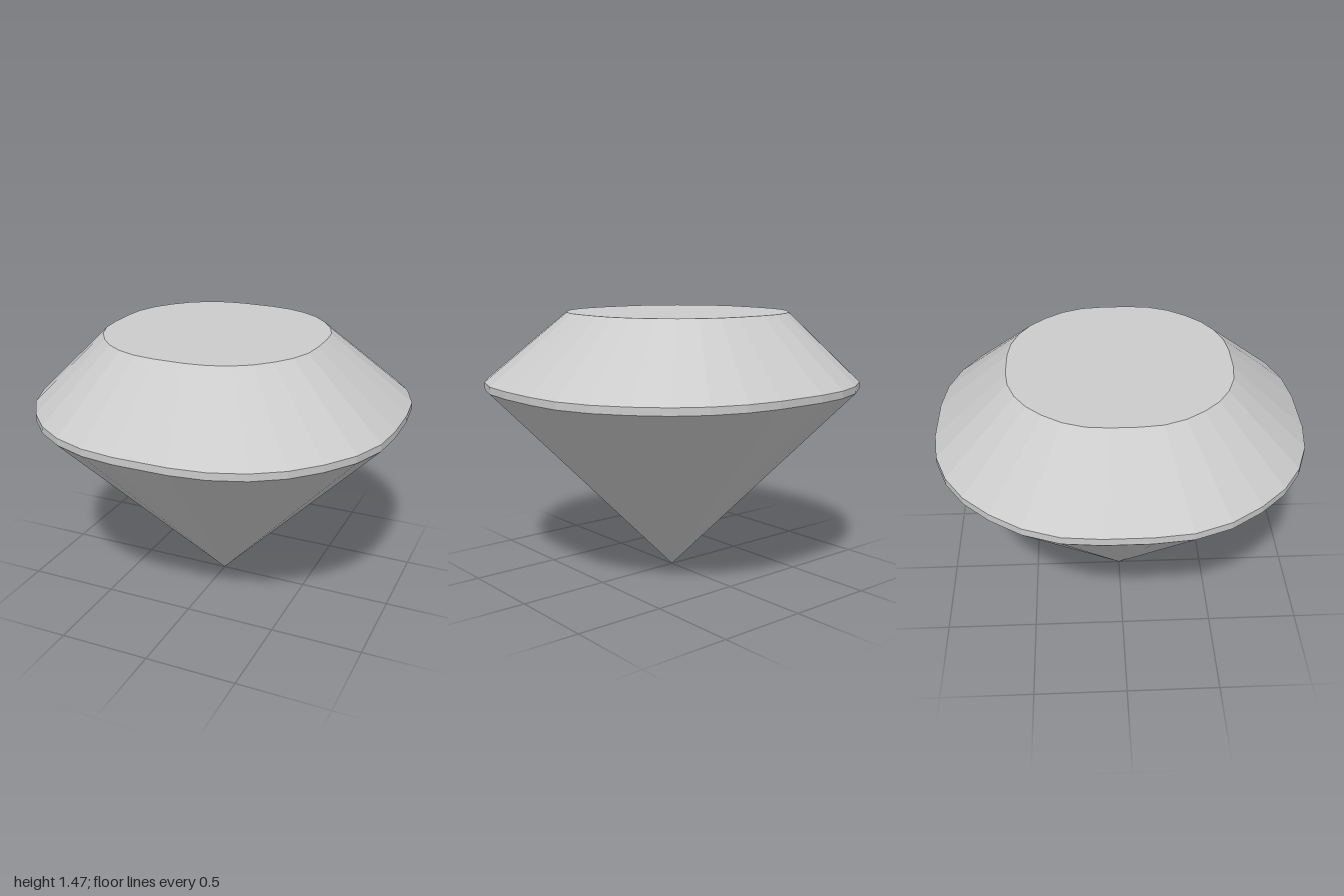
import * as THREE from 'three';

// One quadrant of the cushion-shaped outline (x, z), mirrored into 32 corners
const QUADRANT = [
  [1, 0.12], [0.98, 0.315], [0.91, 0.5], [0.8, 0.66],
  [0.67, 0.795], [0.515, 0.895], [0.335, 0.96], [0.147, 0.985],
];
const reversed = [...QUADRANT].reverse();
const OUTLINE = [
  ...QUADRANT,
  ...reversed.map(([x, z]) => [-x, z]),
  ...QUADRANT.map(([x, z]) => [-x, -z]),
  ...reversed.map(([x, z]) => [x, -z]),
];

const ring = (y, scale = 1, dx = 0) =>
  OUTLINE.map(([x, z]) => new THREE.Vector3(x * scale + dx, y, z * scale));

// Triangles are left unindexed so every facet is flat
function mesh(name, points, material) {
  const geometry = new THREE.BufferGeometry().setFromPoints(points);
  geometry.computeVertexNormals();
  const m = new THREE.Mesh(geometry, material);
  m.name = name;
  return m;
}

// Band of facets between two rings
function band(lower, upper) {
  return lower.flatMap((a, i) => {
    const j = (i + 1) % lower.length;
    const b = lower[j], c = upper[j], d = upper[i];
    return [a, c, b, a, d, c];
  });
}

// Fan from a centre point to a ring
function fan(centre, loop, up) {
  return loop.flatMap((a, i) => {
    const b = loop[(i + 1) % loop.length];
    return up ? [centre, b, a] : [centre, a, b];
  });
}

export function createModel() {
  const group = new THREE.Group();
  group.name = 'gem';
  const material = new THREE.MeshStandardMaterial({ color: 0xcccccc, flatShading: true });

  const girdleLow = ring(1.063);
  const girdleHigh = ring(1.102);
  const tableRing = ring(1.473, 0.595, -0.04); // table sits slightly off centre

  group.add(
    mesh('pavilion', fan(new THREE.Vector3(0, 0, 0), girdleLow, false), material),
    mesh('girdle', band(girdleLow, girdleHigh), material),
    mesh('crown', band(girdleHigh, tableRing), material),
    mesh('table', fan(new THREE.Vector3(-0.04, 1.473, 0), tableRing, true), material),
  );
  return group;
}
